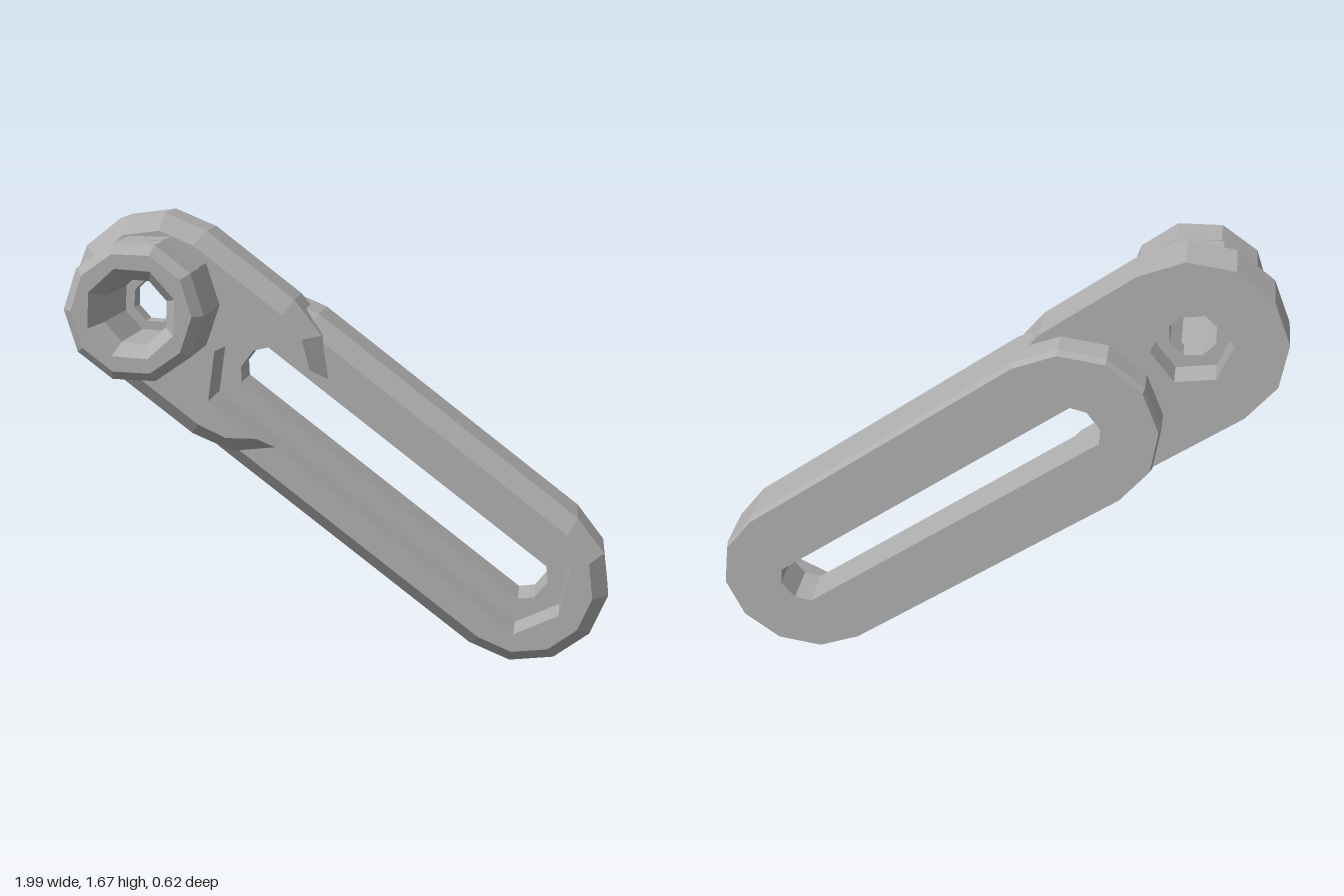
import * as THREE from 'three';
import { mergeGeometries } from 'three/addons/utils/BufferGeometryUtils.js';

// All outlines are counter-clockwise [u, v] lists; u runs along the arm, v across it.
const arc = (c, r, from, to, n) => Array.from({ length: n + 1 }, (_, i) => {
  const a = from + (to - from) * i / n;
  return [c + r * Math.cos(a), r * Math.sin(a)];
});
const ring = (r, n, turn = 0) => arc(0, r, turn, turn + Math.PI * 2, n).slice(0, n);
const stadium = (c0, c1, r, n = 6) => [
  ...arc(c1, r, -Math.PI / 2, Math.PI / 2, n),
  ...arc(c0, r, Math.PI / 2, Math.PI * 1.5, n),
];

// Strip of quads between two outlines; inner walls face the hole
function wall(a, za, b, zb, inner = false) {
  const pos = [];
  for (let i = 0; i < a.length; i++) {
    const j = (i + 1) % a.length;
    const p = [...a[i], za], q = [...a[j], za], r = [...b[j], zb], s = [...b[i], zb];
    pos.push(...(inner ? [p, r, q, p, s, r] : [p, q, r, p, r, s]).flat());
  }
  const g = new THREE.BufferGeometry();
  g.setAttribute('position', new THREE.Float32BufferAttribute(pos, 3));
  return g;
}

// Flat face with optional holes, facing front or back
function cap(outline, holes, z, back = false) {
  const vec = (pts) => pts.map(([x, y]) => new THREE.Vector2(x, y));
  const shape = new THREE.Shape(vec(outline));
  for (const h of holes) shape.holes.push(new THREE.Path(vec(h)));
  const g = new THREE.ShapeGeometry(shape);
  if (back) g.index.array.reverse();
  const flat = g.toNonIndexed();
  flat.deleteAttribute('uv');
  flat.deleteAttribute('normal');
  return flat.translate(0, 0, z);
}

export function createModel() {
  const grey = new THREE.MeshStandardMaterial({ color: 0xb0b0b0 });
  const model = new THREE.Group();
  const arm = new THREE.Group();
  arm.name = 'slottedArm';
  arm.position.set(-0.68, 1.36, 0);
  arm.rotation.z = Math.atan2(-1.04, 1.36);
  model.add(arm);

  const add = (name, parts) => {
    const g = mergeGeometries(parts);
    g.computeVertexNormals();
    const m = new THREE.Mesh(g, grey);
    m.name = name;
    arm.add(m);
  };

  const R = 0.32, RIM = 0.26, LEN = 1.712, W = 0.165;
  const back = -0.31, front = -0.03, floor = -0.16;

  // Through slot and the wider recess in front of it
  const slot = [
    [1.755, -0.085], [1.798, -0.04], [1.798, 0.04], [1.755, 0.085],
    [0.425, 0.085], [0.388, 0.04], [0.388, -0.04], [0.425, -0.085],
  ];
  const recess = [[1.804, -W], [1.885, 0], [1.804, W], [0.378, W], [0.286, 0], [0.378, -W]];

  // Slotted body with bevelled front edge
  const bodyBack = stadium(0.5, LEN, R - 0.008);
  const bodySide = stadium(0.5, LEN, R);
  const bodyRim = stadium(0.5, LEN, RIM);
  add('slottedBody', [
    cap(bodyBack, [slot], back, true),
    wall(bodyBack, back, bodySide, back + 0.03),
    wall(bodySide, back + 0.03, bodySide, -0.1),
    wall(bodySide, -0.1, bodyRim, front),
    cap(bodyRim, [recess], front),
    wall(recess, floor, recess, front, true),
    cap(recess, [slot], floor),
    wall(slot, back, slot, floor, true),
  ]);

  // Head plate: two prongs run on either side of the recess
  const plate = (r) => {
    const a = Math.asin(W / r);
    return [
      ...arc(0.4, r, a, Math.PI / 2, 2),
      ...arc(0, r, Math.PI / 2, Math.PI * 1.5, 6),
      ...arc(0.4, r, -Math.PI / 2, -a, 2),
      [0.378, -W], [0.286, 0], [0.378, W],
    ];
  };
  const nut = ring(0.14, 6, 0.5);
  const bore = ring(0.12, 8, 0.2);
  const hole = ring(0.085, 8, 0.2);
  add('headPlate', [
    cap(plate(R), [nut], -0.19, true),
    wall(plate(R), -0.19, plate(R), front),
    wall(plate(R), front, plate(RIM), 0.03),
    cap(plate(RIM), [bore], 0.03),
    // Hexagonal pocket at the back
    wall(nut, -0.19, nut, -0.09, true),
    cap(nut, [hole], -0.09, true),
  ]);

  // Boss with a side pocket at its base
  const side = ring(0.25, 10);
  const edge = ring(0.215, 10);
  const mouth = ring(0.165, 8, 0.2);
  const start = Math.PI - Math.asin(0.14 / 0.25);
  const notched = [
    ...arc(0, 0.25, -start, start, 8),
    [-0.15, 0.14], [-0.15, -0.14],
  ];
  add('boss', [
    wall(notched, 0.02, notched, 0.15),
    cap(side, [bore], 0.15, true),
    wall(side, 0.15, side, 0.275),
    wall(side, 0.275, edge, 0.31),
    cap(edge, [mouth], 0.31),
    // Stepped bore
    wall(bore, 0.25, mouth, 0.31, true),
    wall(bore, -0.02, bore, 0.25, true),
    cap(bore, [hole], -0.02),
    wall(hole, -0.09, hole, -0.02, true),
  ]);

  return model;
}
